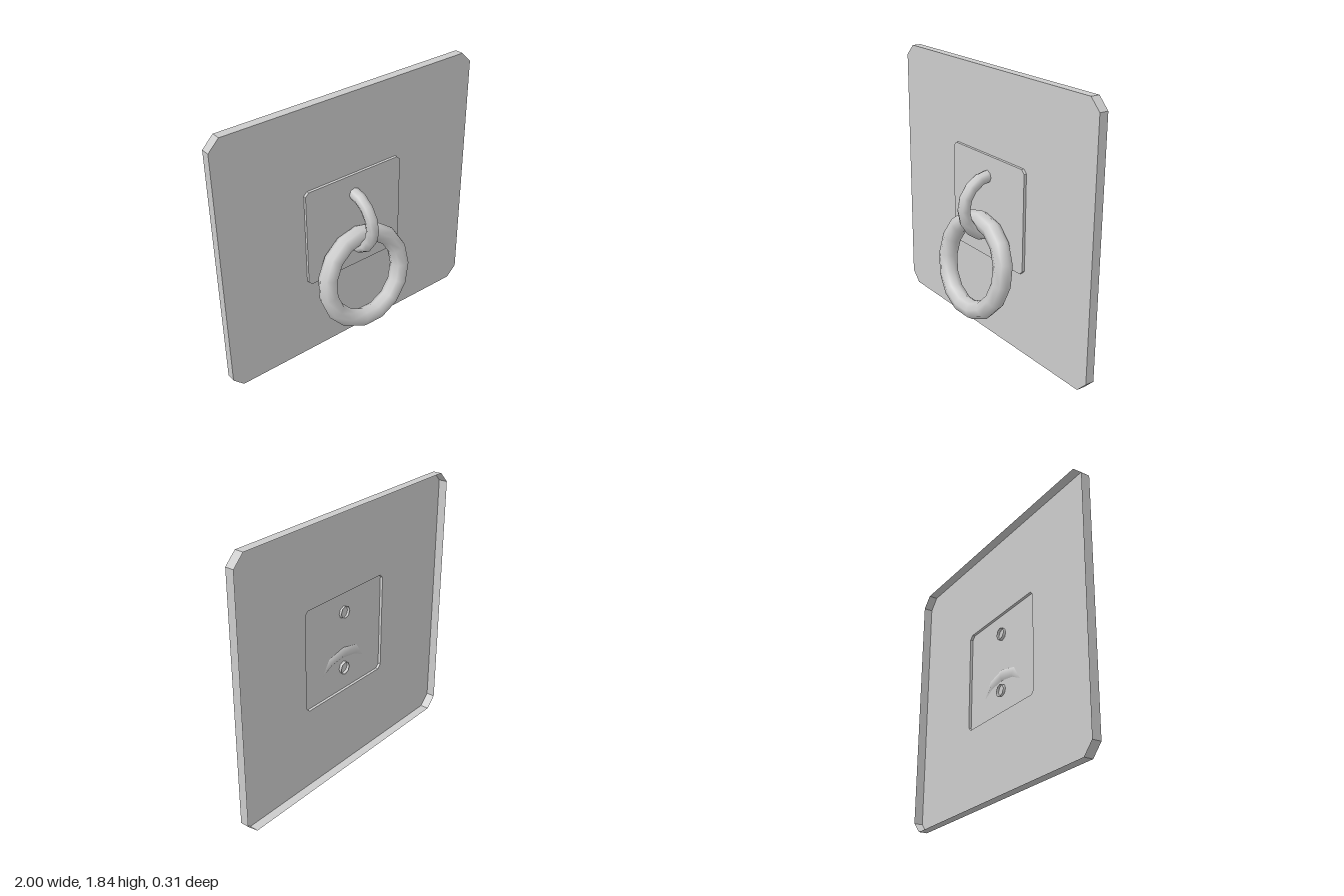
import * as THREE from 'three';

const material = new THREE.MeshStandardMaterial({ color: 0xcccccc, side: THREE.DoubleSide });

// Corner points of a rectangle with chamfered corners, counter-clockwise
function chamferedOutline(halfW, y0, y1, c) {
  return [
    [halfW - c, y0], [halfW, y0 + c], [halfW, y1 - c], [halfW - c, y1],
    [-halfW + c, y1], [-halfW, y1 - c], [-halfW, y0 + c], [-halfW + c, y0],
  ].map(([x, y]) => new THREE.Vector2(x, y));
}

// Open-backed plate: a front face (optionally with an opening) and side walls
function makePlate(name, outline, zFront, zBack, opening) {
  const plate = new THREE.Group();
  plate.name = name;

  const shape = new THREE.Shape(outline);
  if (opening) shape.holes.push(new THREE.Path(opening));
  const face = new THREE.Mesh(new THREE.ShapeGeometry(shape), material);
  face.name = name + 'Face';
  face.position.z = zFront;

  const positions = [];
  outline.forEach((a, i) => {
    const b = outline[(i + 1) % outline.length];
    positions.push(
      a.x, a.y, zFront, a.x, a.y, zBack, b.x, b.y, zBack,
      a.x, a.y, zFront, b.x, b.y, zBack, b.x, b.y, zFront,
    );
  });
  const wallGeometry = new THREE.BufferGeometry();
  wallGeometry.setAttribute('position', new THREE.Float32BufferAttribute(positions, 3));
  wallGeometry.computeVertexNormals();
  const walls = new THREE.Mesh(wallGeometry, material);
  walls.name = name + 'Walls';

  plate.add(face, walls);
  return plate;
}

export function createModel() {
  const model = new THREE.Group();
  model.name = 'wallRing';

  // Large backing plate with the small mounting plate raised out of its front
  const mountOutline = chamferedOutline(0.383, 0.567, 1.27, 0.025);
  model.add(
    makePlate('backPlate', chamferedOutline(1, 0, 1.835, 0.075), -0.092, -0.153, mountOutline),
    makePlate('mountPlate', mountOutline, -0.073, -0.092),
  );

  // Half-ring staple standing out of the mounting plate, open at its ends
  const stapleGeometry = new THREE.TorusGeometry(0.203, 0.042, 8, 8, Math.PI);
  stapleGeometry.rotateZ(-Math.PI / 2).rotateY(-Math.PI / 2);
  const staple = new THREE.Mesh(stapleGeometry, material);
  staple.name = 'staple';
  staple.position.set(0, 0.928, -0.092);
  model.add(staple);

  // Hanging ring, leaning outwards at the bottom
  const ringGeometry = new THREE.TorusGeometry(0.308, 0.064, 8, 15);
  ringGeometry.rotateZ(Math.PI / 2).rotateX(-0.18);
  const ring = new THREE.Mesh(ringGeometry, material);
  ring.name = 'hangingRing';
  ring.position.set(0, 0.53, 0.03);
  model.add(ring);

  return model;
}
